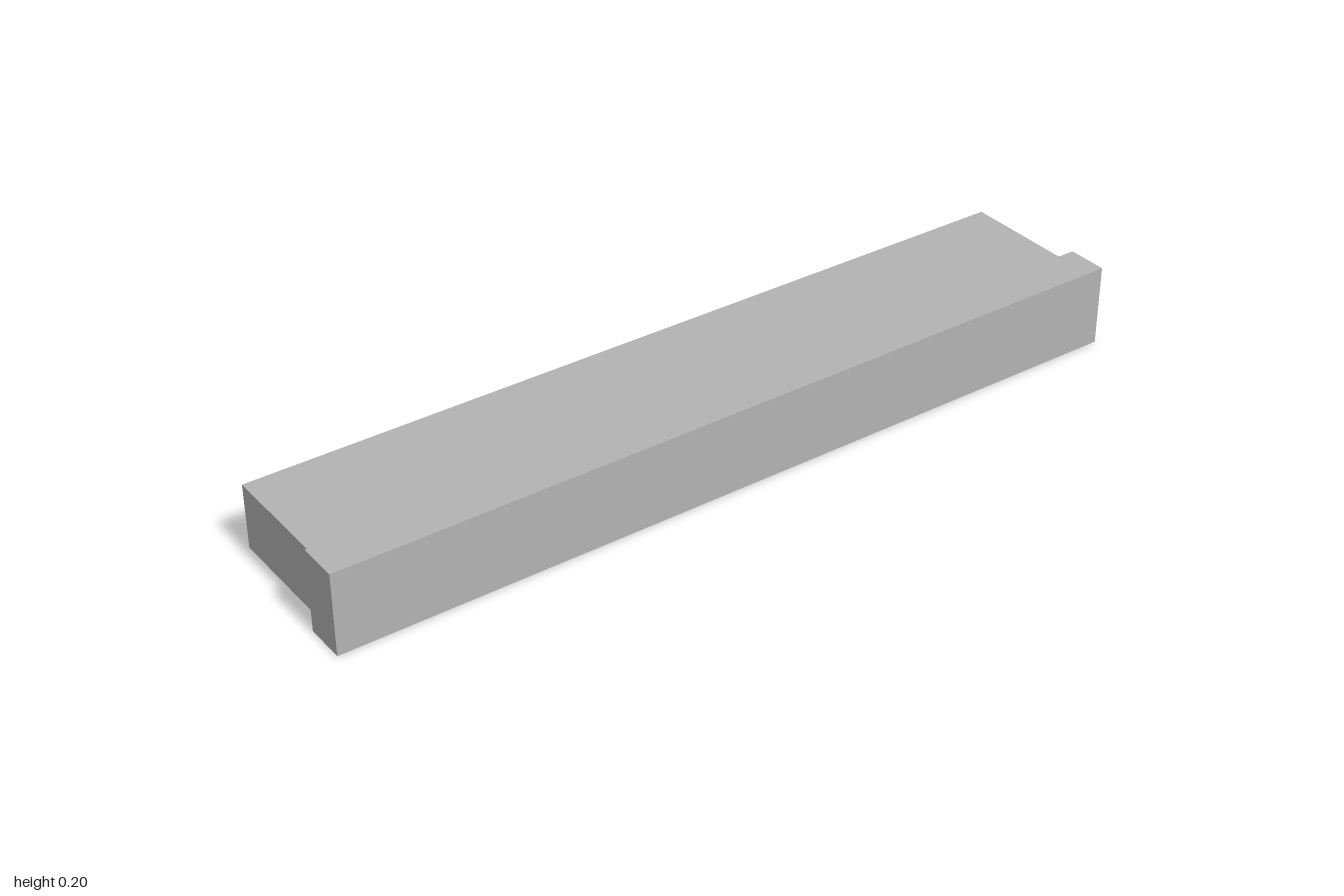
import * as THREE from 'three';

export function createModel() {
  const group = new THREE.Group();
  const grey = new THREE.MeshStandardMaterial({ color: 0xb3b3b3 });
  grey.name = 'grey';

  // Box given by its lower and upper corners
  const addBox = (name, min, max) => {
    const size = max.map((v, i) => v - min[i]);
    const mesh = new THREE.Mesh(new THREE.BoxGeometry(...size), grey);
    mesh.position.set(...max.map((v, i) => (v + min[i]) / 2));
    mesh.name = name;
    group.add(mesh);
  };

  // Wider front panel, with the slimmer body behind it
  addBox('frontPanel', [-1, 0, 0.099], [1, 0.196, 0.197]);
  addBox('body', [-0.983, 0.021, -0.197], [0.983, 0.176, 0.099]);

  return group;
}
